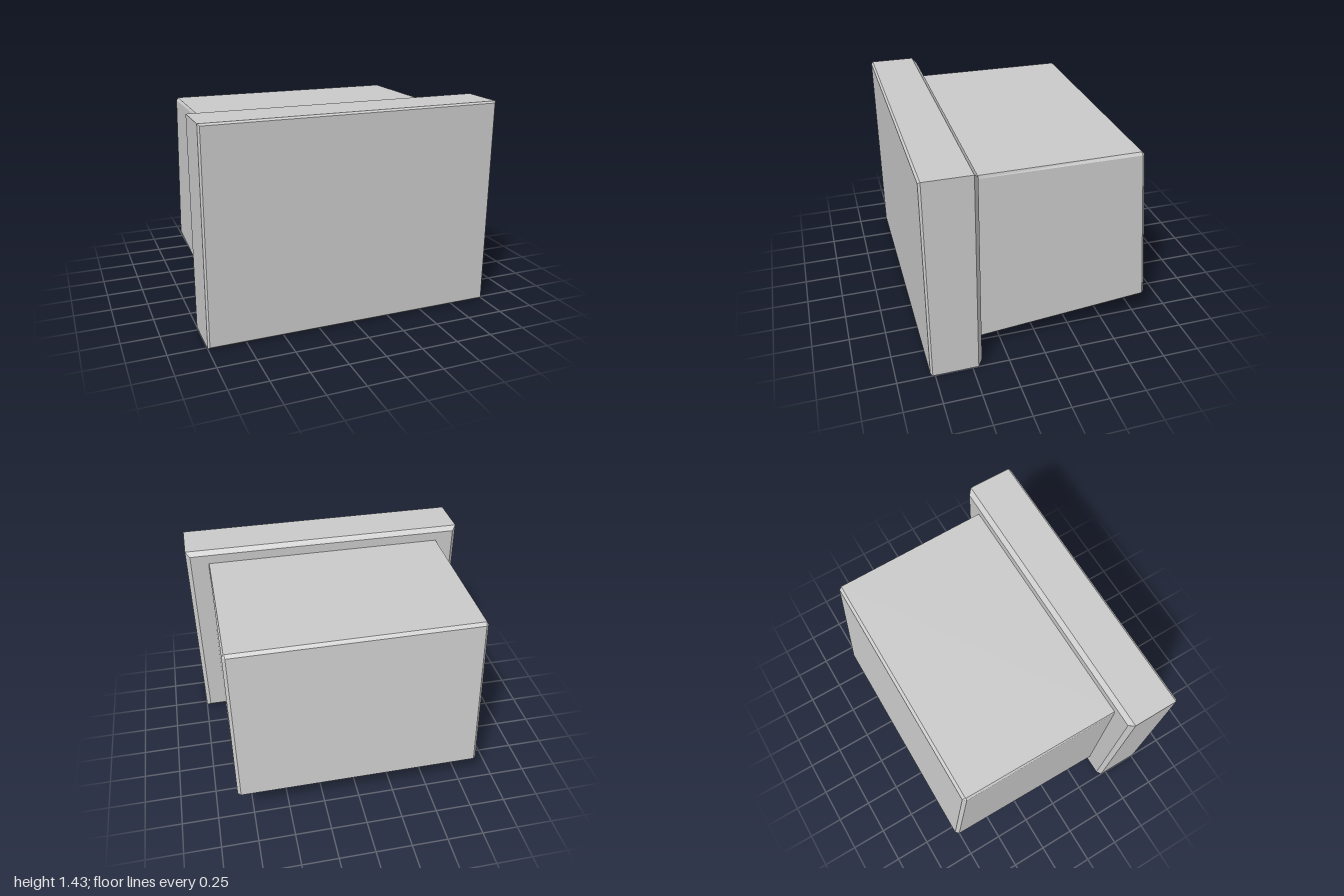
import * as THREE from 'three';

const grey = new THREE.MeshStandardMaterial({ color: 0xcccccc });
const black = new THREE.MeshStandardMaterial({ color: 0x080808 });
const dark = new THREE.MeshStandardMaterial({ color: 0x2a2a2a });

// Flat-shaded skin over rings of corners; rings run along +y for outer shells, -y for recesses.
function loft(rings, { capStart = false, capEnd = false, skip = () => false } = {}) {
  const pos = [];
  const tri = (a, b, c) => pos.push(...a, ...b, ...c);
  const n = rings[0].length;
  for (let r = 0; r < rings.length - 1; r++) {
    const A = rings[r], B = rings[r + 1];
    for (let i = 0; i < n; i++) {
      if (skip(r, i)) continue;
      const j = (i + 1) % n;
      tri(A[i], A[j], B[j]);
      tri(A[i], B[j], B[i]);
    }
  }
  const first = rings[0], last = rings[rings.length - 1];
  for (let i = 1; i < n - 1; i++) {
    if (capStart) tri(first[0], first[i + 1], first[i]);
    if (capEnd) tri(last[0], last[i], last[i + 1]);
  }
  const g = new THREE.BufferGeometry();
  g.setAttribute('position', new THREE.Float32BufferAttribute(pos, 3));
  g.computeVertexNormals();
  return g;
}

// Rectangle in xz, shrunk by inset, lying on the height rule yAt(z)
function rect(x0, x1, z0, z1, yAt, inset = 0) {
  x0 += inset; x1 -= inset; z0 += inset; z1 -= inset;
  return [[x0, z1], [x1, z1], [x1, z0], [x0, z0]].map(([x, z]) => [x, yAt(z), z]);
}

// Downward-facing panel with holes, lying on the height rule yAt(z)
function panel(outline, holes, yAt) {
  const toPoints = (ring) => ring.map(([x, , z]) => new THREE.Vector2(x, z));
  const shape = new THREE.Shape(toPoints(outline));
  holes.forEach((h) => shape.holes.push(new THREE.Path(toPoints(h))));
  const g = new THREE.ShapeGeometry(shape).rotateX(Math.PI / 2);
  const p = g.attributes.position;
  for (let i = 0; i < p.count; i++) p.setY(i, yAt(p.getZ(i)));
  g.computeVertexNormals();
  return g;
}

function add(parent, name, geometry, material = grey) {
  const mesh = new THREE.Mesh(geometry, material);
  mesh.name = name;
  parent.add(mesh);
  return mesh;
}

function buildBase() {
  const base = new THREE.Group();
  base.name = 'baseCase';
  const flat = () => 0;

  // Chamfered slab, lofted through its thickness; its lower side is left open for the panel
  const slabRings = [[0.43, 0.03], [0.46, 0], [0.766, 0], [0.78, 0.012]]
    .map(([z, inset]) => rect(-1, 1, -1.43, 0, () => z, inset));
  const slab = loft(slabRings, { capStart: true, capEnd: true, skip: (r, i) => r === 1 && i === 0 });
  add(base, 'slab', slab.rotateX(Math.PI / 2));

  // Openings: row of vent slots on one end, drive bay on the other
  const slots = [];
  for (let i = 0; i < 6; i++) {
    const x = 0.63 + i * 0.06;
    slots.push([x - 0.012, x + 0.012, 0.525, 0.735]);
  }
  const bay = [-0.86, -0.1, 0.535, 0.745];
  const holes = [...slots, bay].map((s) => rect(...s, flat));
  add(base, 'slabPanel', panel(rect(-1, 1, 0.46, 0.766, flat), holes, flat));

  slots.forEach((s) => add(base, 'ventSlot',
    loft([rect(...s, () => 0.03), rect(...s, flat)], { capStart: true })));

  // Drive bay with sloping walls, black face, slot and latch
  add(base, 'driveBayWalls', loft([rect(...bay, () => 0.05, 0.022), rect(...bay, flat)]));
  add(base, 'driveFace', panel(rect(...bay, flat, 0.022), [], () => 0.05), black);
  add(base, 'driveSlot', new THREE.BoxGeometry(0.6, 0.01, 0.015), dark).position.set(-0.48, 0.048, 0.635);
  add(base, 'driveLatch', new THREE.BoxGeometry(0.1, 0.03, 0.05), dark).position.set(-0.25, 0.04, 0.635);
  return base;
}

function buildMonitor() {
  const monitor = new THREE.Group();
  monitor.name = 'monitor';
  const slope = (lift) => (z) => 0.105 + lift + (0.43 - z) * 0.087;

  // Section with half-widths at front and rear, and chamfered rear corners
  const section = (xFront, xRear, z0, yAt, c) => [
    [-xFront, 0.44], [xFront, 0.44], [xRear, z0 + c], [xRear - c, z0], [-xRear + c, z0], [-xRear, z0 + c],
  ].map(([x, z]) => [x, yAt(z), z]);

  // Tapered housing
  const rim = section(0.832, 0.832, -0.757, slope(0), 0.006);
  add(monitor, 'housing', loft([
    rim,
    section(0.85, 0.85, -0.78, slope(0.02), 0.022),
    section(0.847, 0.845, -0.675, () => 1.315, 0.02),
    section(0.842, 0.832, -0.655, () => 1.335, 0.004),
  ], { capEnd: true }));

  // Bezel around the screen and its sloping inner walls
  const opening = [-0.73, 0.73, -0.69, 0.34];
  add(monitor, 'bezel', panel(rim, [rect(...opening, slope(0))], slope(0)));
  add(monitor, 'bezelWalls', loft([rect(...opening, slope(0.08), 0.065), rect(...opening, slope(0))]));

  // Domed screen glass, nearest the opening at its centre
  const hx = 0.714, hz = 0.498, zc = -0.175;
  const glass = new THREE.PlaneGeometry(2 * hx, 2 * hz, 20, 16).rotateX(Math.PI / 2);
  const p = glass.attributes.position;
  for (let i = 0; i < p.count; i++) {
    const u = p.getX(i) / hx, v = p.getZ(i) / hz, z = p.getZ(i) + zc;
    p.setZ(i, z);
    p.setY(i, slope(0.002 + 0.026 * (u * u + v * v))(z));
  }
  glass.computeVertexNormals();
  add(monitor, 'screen', glass, black);
  return monitor;
}

export function createModel() {
  const model = new THREE.Group();
  model.name = 'desktopComputer';
  model.add(buildBase(), buildMonitor());
  return model;
}
